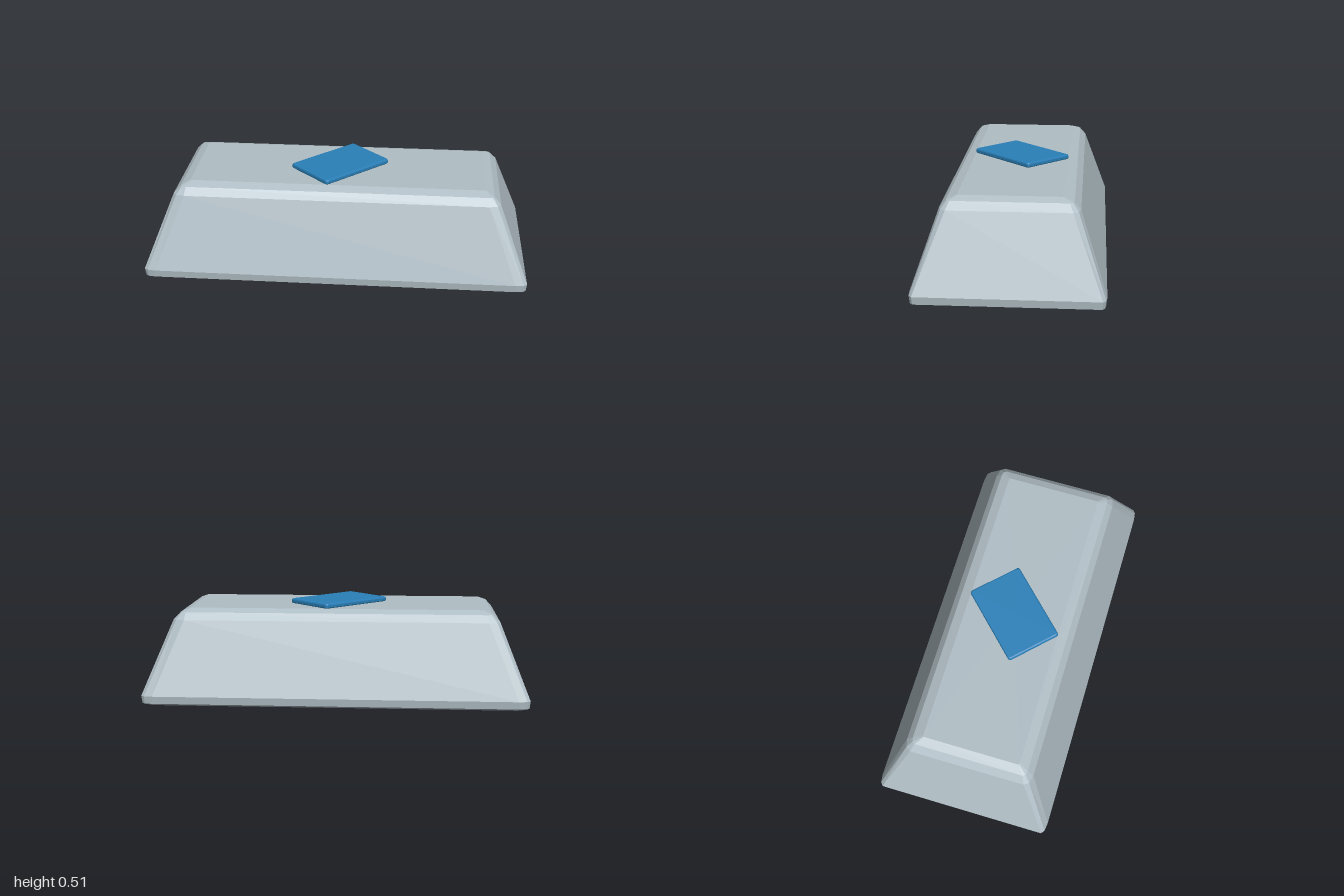
import * as THREE from 'three';

// Closed solid from stacked rectangles with two-step chamfered corners.
// Each level is [y, halfX, halfZ, cornerX, cornerZ].
function chamferedSolid(levels) {
  const rings = levels.map(([y, hx, hz, cx, cz]) => {
    const corner = [[hx, hz - cz], [hx - cx * 0.29, hz - cz * 0.29], [hx - cx, hz]];
    const flipped = [...corner].reverse();
    return [
      ...corner,
      ...flipped.map(([x, z]) => [-x, z]),
      ...corner.map(([x, z]) => [-x, -z]),
      ...flipped.map(([x, z]) => [x, -z]),
    ].map(([x, z]) => [x, y, z]);
  });
  const positions = [];
  const tri = (a, b, c) => positions.push(...a, ...b, ...c);
  const n = rings[0].length;
  const bottom = rings[0];
  const top = rings[rings.length - 1];
  for (let i = 0; i < n; i++) {
    const j = (i + 1) % n;
    for (let k = 0; k < rings.length - 1; k++) {
      const a = rings[k][i], b = rings[k][j], c = rings[k + 1][j], d = rings[k + 1][i];
      tri(a, c, b);
      tri(a, d, c);
    }
    // End caps
    tri([0, bottom[0][1], 0], bottom[i], bottom[j]);
    tri([0, top[0][1], 0], top[j], top[i]);
  }
  const geometry = new THREE.BufferGeometry();
  geometry.setAttribute('position', new THREE.Float32BufferAttribute(positions, 3));
  geometry.computeVertexNormals(); // unshared corners give flat facets
  return geometry;
}

export function createModel() {
  const metal = new THREE.MeshStandardMaterial({ color: 0xb0bec5 });
  metal.name = 'pale metal';
  const blue = new THREE.MeshStandardMaterial({ color: 0x2980b9 });
  blue.name = 'blue';

  const model = new THREE.Group();
  model.name = 'ingot';

  // Tapered bar with bevelled edges
  const bar = new THREE.Mesh(chamferedSolid([
    [0, 0.955, 0.425, 0.02, 0.01],
    [0.016, 0.995, 0.462, 0.05, 0.018],
    [0.055, 1.0, 0.467, 0.06, 0.02],
    [0.435, 0.85, 0.337, 0.06, 0.035],
    [0.472, 0.815, 0.305, 0.03, 0.02],
    [0.49, 0.77, 0.255, 0.01, 0.005],
  ]), metal);
  bar.name = 'bar';

  // Raised plate turned diagonally on the top face
  const plate = new THREE.Mesh(chamferedSolid([
    [0.488, 0.215, 0.144, 0.012, 0.012],
    [0.494, 0.219, 0.148, 0.012, 0.012],
    [0.507, 0.219, 0.148, 0.012, 0.012],
    [0.513, 0.216, 0.145, 0.011, 0.011],
    [0.515, 0.21, 0.139, 0.008, 0.008],
  ]), blue);
  plate.name = 'topPlate';
  plate.rotation.y = Math.PI / 4;

  model.add(bar, plate);
  return model;
}
